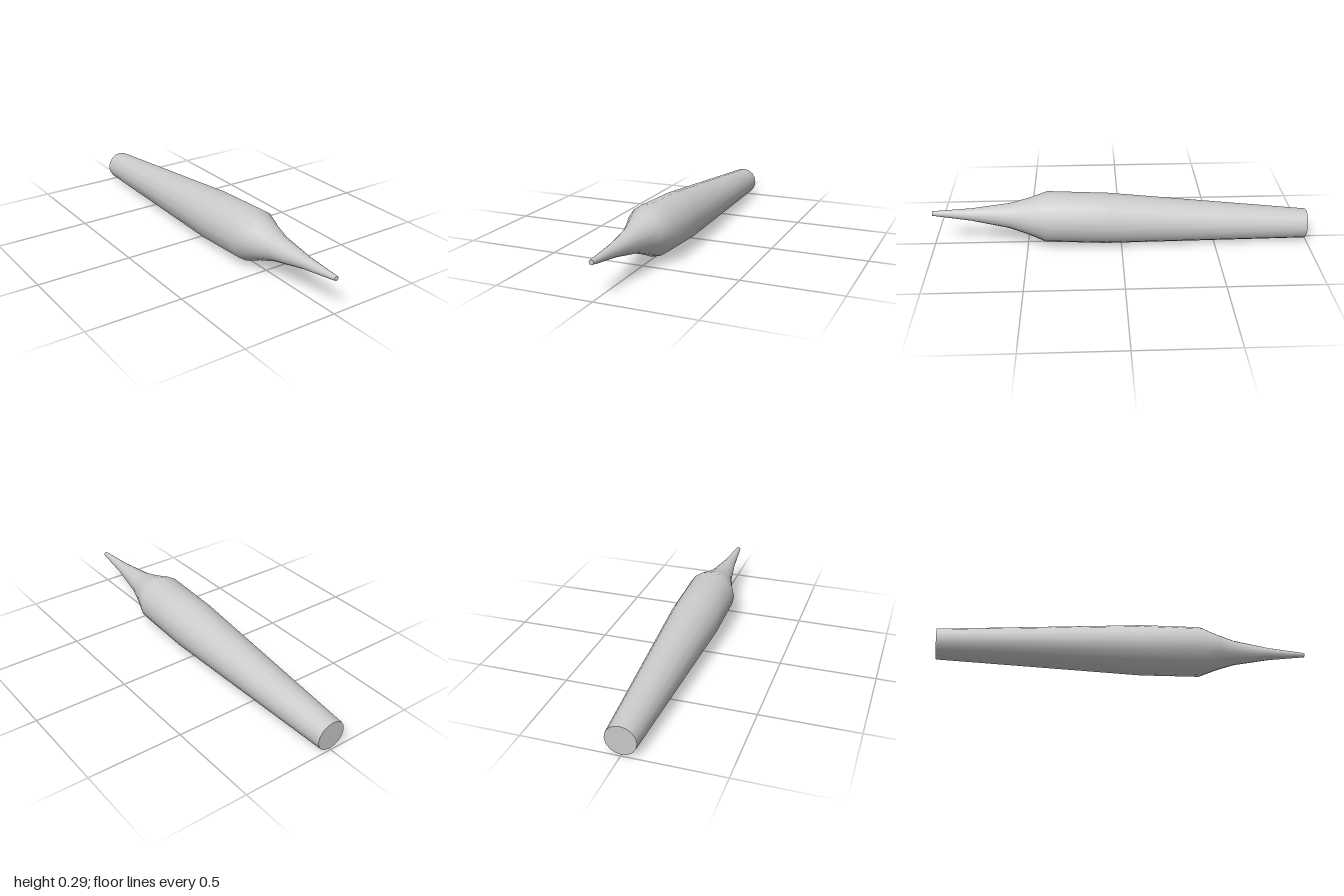
import * as THREE from 'three';

const SIDES = 16;
const TILT = 0.051;

// [radius, distance along the axis], from the blunt end to the tip
const PROFILE = [
  [0.079, -0.997], [0.135, 0.075], [0.135, 0.398],
  [0.099, 0.49], [0.067, 0.592], [0.033, 0.795], [0.012, 1.001],
];

export function createModel() {
  const model = new THREE.Group();
  const material = new THREE.MeshStandardMaterial({ color: 0xcccccc });

  // Slightly tilted axis, local +z runs towards the tip
  const tool = new THREE.Group();
  tool.name = 'taperedTool';
  tool.position.y = 0.1325;
  tool.rotation.x = -TILT;
  model.add(tool);

  function add(name, geometry) {
    const mesh = new THREE.Mesh(geometry, material);
    mesh.name = name;
    tool.add(mesh);
    return mesh;
  }

  // Tapered handle, straight grip and concave point in one smooth turned skin
  const points = PROFILE.map(([r, s]) => new THREE.Vector2(r, s));
  add('body', new THREE.LatheGeometry(points, SIDES).rotateX(Math.PI / 2));

  // Flat discs close both ends with crisp rims
  const [tailRadius, tailZ] = PROFILE[0];
  const [tipRadius, tipZ] = PROFILE[PROFILE.length - 1];
  add('tailCap', new THREE.CircleGeometry(tailRadius, SIDES).rotateY(Math.PI)).position.z = tailZ;
  add('tipCap', new THREE.CircleGeometry(tipRadius, SIDES)).position.z = tipZ;

  return model;
}
